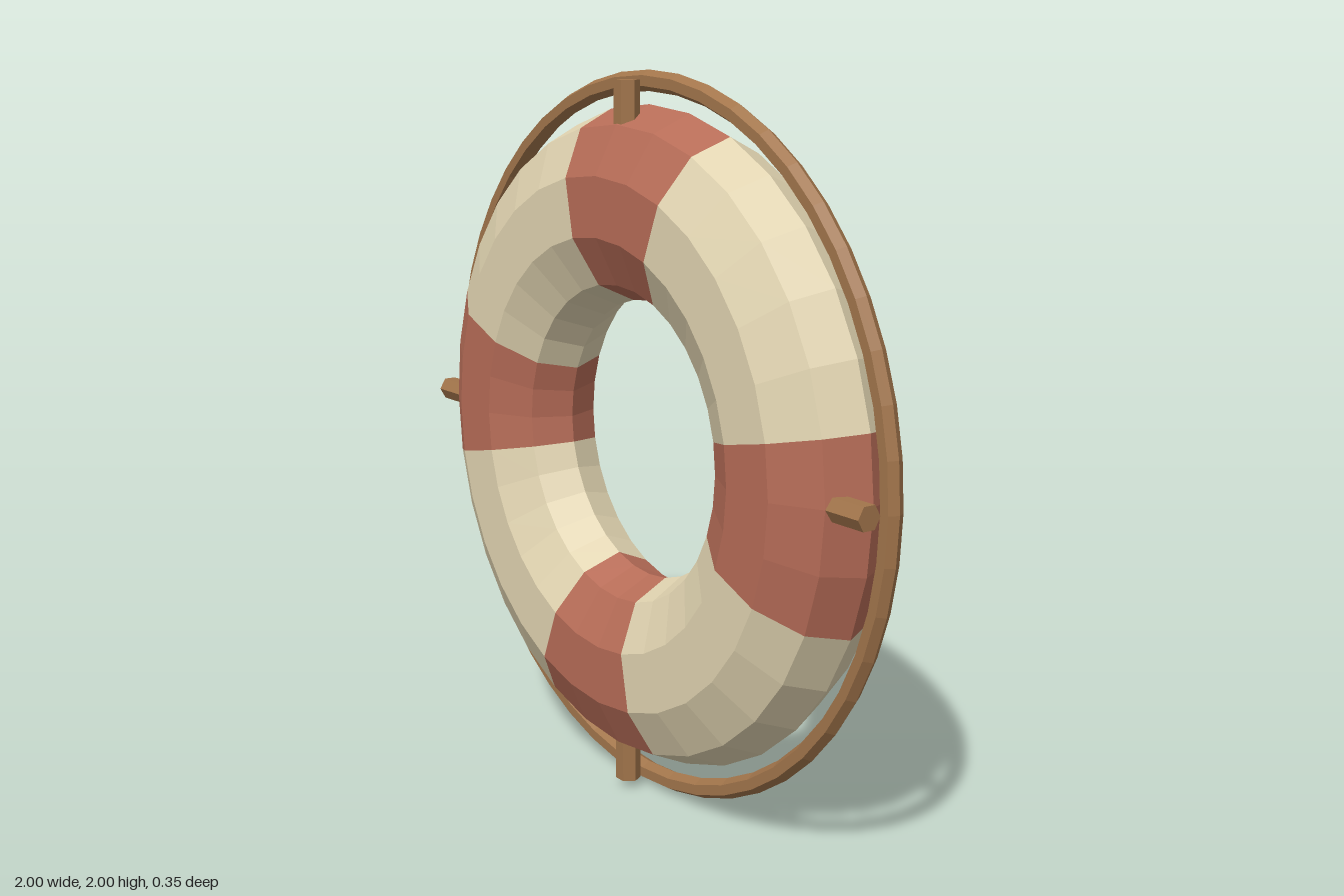
import * as THREE from 'three';

const paint = (color) => new THREE.MeshStandardMaterial({ color, flatShading: true });

export function createModel() {
  const model = new THREE.Group();
  model.name = 'lifeRing';
  const cream = paint(0xe0d3b0);
  const red = paint(0xb66c57);
  const tan = paint(0xa2754b);

  const ring = new THREE.Group();
  ring.position.y = 1;
  model.add(ring);

  const add = (name, geometry, material) => {
    const mesh = new THREE.Mesh(geometry, material);
    mesh.name = name;
    ring.add(mesh);
    return mesh;
  };

  // Float ring: 32 segments around, alternating 3 red and 5 cream per quarter
  const step = Math.PI / 16;
  const floatPart = (name, material, first, count) => {
    const geometry = new THREE.TorusGeometry(0.648, 0.262, 10, count, count * step);
    geometry.scale(1, 1, 0.7);
    geometry.rotateZ(first * step);
    add(name, geometry, material);
  };

  for (let i = 0; i < 4; i++) {
    floatPart('redBand', red, i * 8 - 2, 3);
    floatPart('creamSection', cream, i * 8 + 1, 5);

    // Hexagonal pegs that reach from the float out towards the rope
    const peg = new THREE.CylinderGeometry(0.035, 0.035, 0.135, 6);
    if (i % 2 === 0) peg.rotateY(Math.PI / 2);
    peg.translate(0, 0.9075, 0.073);
    peg.rotateZ(i * Math.PI / 2);
    add('peg', peg, tan);
  }

  // Grab rope around the outside
  add('rope', new THREE.TorusGeometry(0.972, 0.028, 6, 48), tan);

  return model;
}
